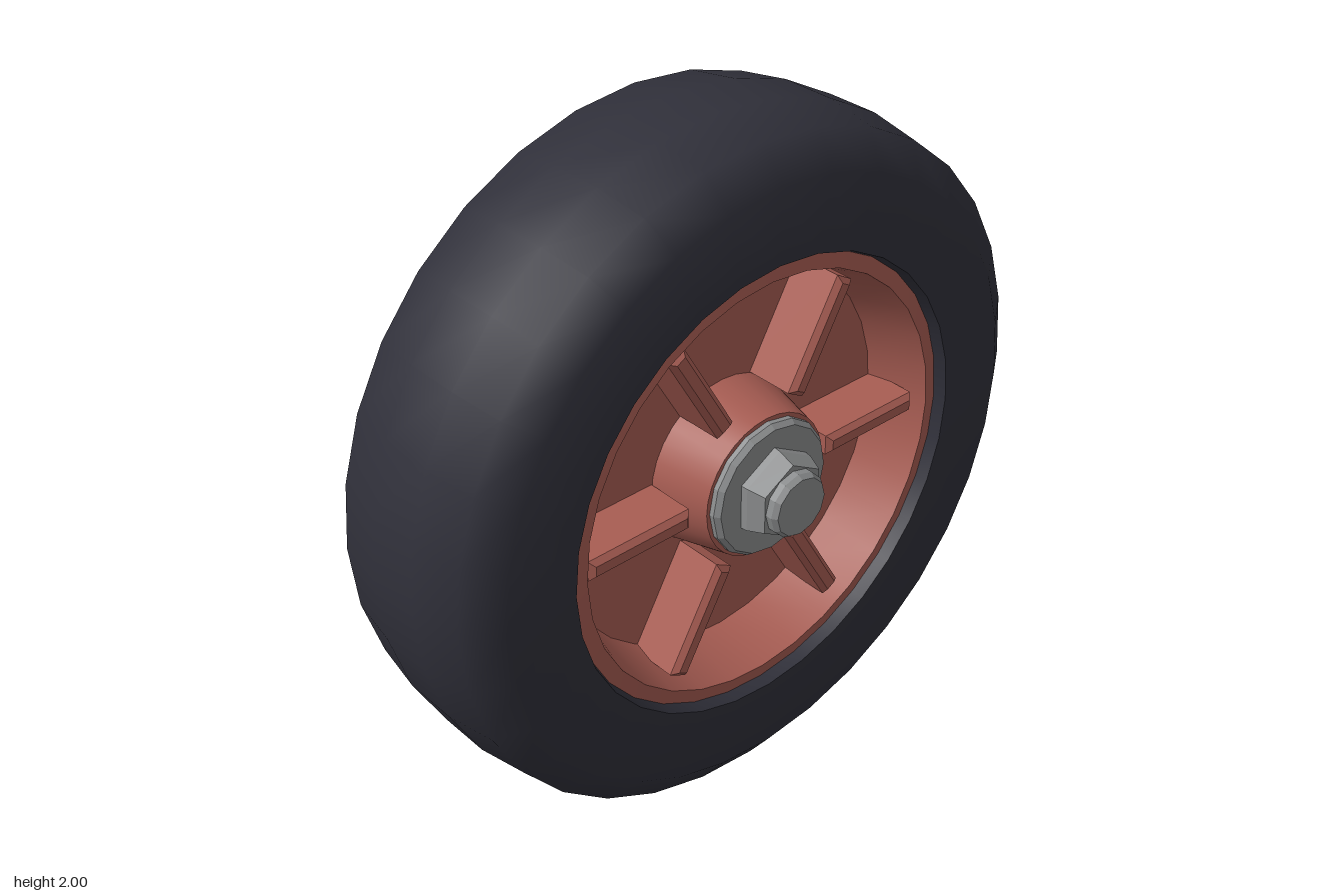
import * as THREE from 'three';
import { toCreasedNormals } from 'three/addons/utils/BufferGeometryUtils.js';

const material = (name, color) => {
  const m = new THREE.MeshStandardMaterial({ color });
  m.name = name;
  return m;
};

// Turned part about the z axis; points are [radius, z] from back to front.
function turned(name, points, sides, crease, mat) {
  const profile = points.map(([r, z]) => new THREE.Vector2(r, z));
  const geo = new THREE.LatheGeometry(profile, sides).rotateX(Math.PI / 2);
  const mesh = new THREE.Mesh(toCreasedNormals(geo, crease), mat);
  mesh.name = name;
  return mesh;
}

// Full symmetric profile from its front half, listed from the rim inwards.
const mirrored = (half) => [...half.map(([r, z]) => [r, -z]).reverse(), ...half];

export function createModel() {
  const rubber = material('dark rubber', 0x30303a);
  const paint = material('red paint', 0xa85d53);
  const steel = material('grey steel', 0x8c8e8f);

  const wheel = new THREE.Group();
  wheel.name = 'wheel';
  wheel.position.y = 1;

  // Tyre with chamfered shoulders and flat sidewalls
  const tyre = mirrored([[1, 0.08], [0.975, 0.235], [0.88, 0.305], [0.67, 0.305], [0.655, 0.25]]);
  tyre.push(tyre[0]);
  wheel.add(turned('tyre', tyre, 32, 0.9, rubber));

  // Dished rim, disc and tapered hub in one turned piece
  wheel.add(turned('rim', mirrored([
    [0.66, 0.27], [0.615, 0.28], [0.57, 0.1], [0.25, 0.1], [0.21, 0.27], [0, 0.27],
  ]), 32, 0.6, paint));

  // Bevelled rib, shared by both faces
  const bevel = 0.015;
  const ribShape = new THREE.Shape([[0.265, -0.015], [0.57, -0.015], [0.57, 0.015], [0.265, 0.015]]
    .map(([x, y]) => new THREE.Vector2(x, y)));
  const ribGeo = new THREE.ExtrudeGeometry(ribShape, {
    depth: 0.175, bevelThickness: bevel, bevelSize: bevel, bevelSegments: 1,
  }).translate(0, 0, 0.07);

  for (const [label, turn] of [['front', 0], ['back', Math.PI]]) {
    const face = new THREE.Group();
    face.name = label + 'Face';
    face.rotation.y = turn;
    for (let i = 0; i < 6; i++) {
      const rib = new THREE.Mesh(ribGeo, paint);
      rib.name = 'rib';
      rib.rotation.z = i * Math.PI / 3;
      face.add(rib);
    }
    // Axle hardware
    face.add(turned('washer', [[0.2, 0.25], [0.2, 0.285], [0.188, 0.3], [0, 0.3]], 16, 0.1, steel));
    face.add(turned('hexNut', [[0.135, 0.29], [0.132, 0.32], [0.113, 0.37], [0, 0.37]], 6, 0.1, steel));
    face.add(turned('axleEnd', [[0.095, 0.36], [0.095, 0.39], [0.085, 0.405], [0, 0.405]], 12, 0.1, steel));
    wheel.add(face);
  }

  const model = new THREE.Group();
  model.name = 'wheelModel';
  model.add(wheel);
  return model;
}
